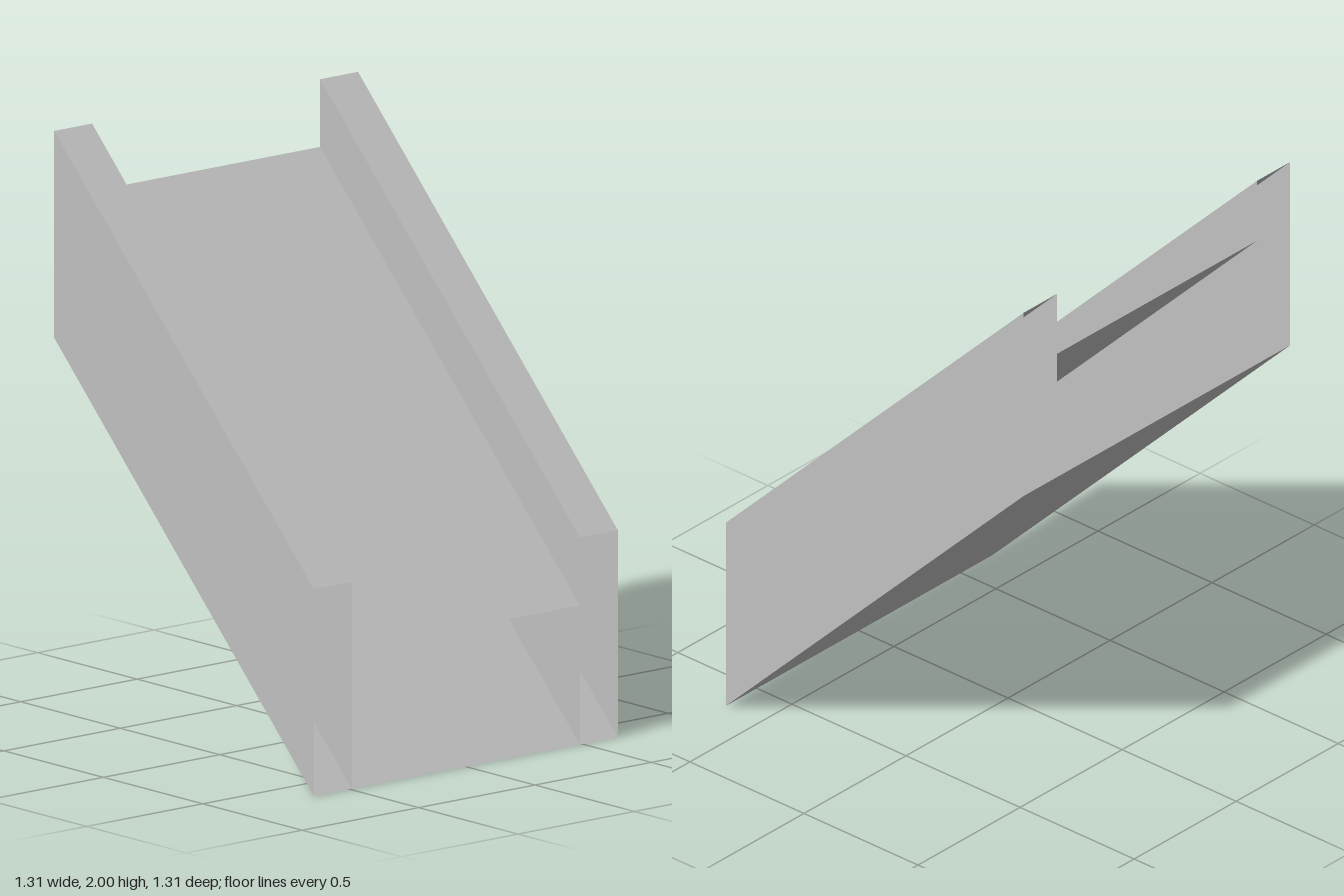
import * as THREE from 'three';

const HALF = 0.653;   // half width and half depth
const INNER = 0.49;   // x of the inner walls
const RISE = 1.306;   // climb from front to back (45 degrees)
const HEIGHT = 0.694; // vertical height of the side rails
const DECK = 0.467;   // height of the deck above the underside

// Sheet climbing from front to back, spanned between two cross-section points [x, y]
function slopedSheet(name, [xa, ya], [xb, yb], material) {
  const geometry = new THREE.BufferGeometry();
  geometry.setAttribute('position', new THREE.Float32BufferAttribute([
    xa, ya, HALF,
    xb, yb, HALF,
    xb, yb + RISE, -HALF,
    xa, ya + RISE, -HALF,
  ], 3));
  geometry.setIndex([0, 1, 2, 0, 2, 3]);
  geometry.computeVertexNormals();
  const mesh = new THREE.Mesh(geometry, material);
  mesh.name = name;
  return mesh;
}

export function createModel() {
  const model = new THREE.Group();
  model.name = 'slopedChannel';
  const grey = new THREE.MeshStandardMaterial({ color: 0xc0c0c0, side: THREE.DoubleSide });
  grey.name = 'lightGrey';

  // Underside and recessed deck
  model.add(slopedSheet('underside', [-HALF, 0], [HALF, 0], grey));
  model.add(slopedSheet('deck', [-INNER, DECK], [INNER, DECK], grey));

  // Hollow side rails, open at both ends
  for (const [side, s] of [['left', 1], ['right', -1]]) {
    const rail = new THREE.Group();
    rail.name = side + 'Rail';
    const outer = s * HALF, inner = s * INNER;
    rail.add(slopedSheet(side + 'OuterWall', [outer, 0], [outer, HEIGHT], grey));
    rail.add(slopedSheet(side + 'InnerWall', [inner, 0], [inner, HEIGHT], grey));
    rail.add(slopedSheet(side + 'RailTop', [Math.min(inner, outer), HEIGHT], [Math.max(inner, outer), HEIGHT], grey));
    model.add(rail);
  }
  return model;
}
